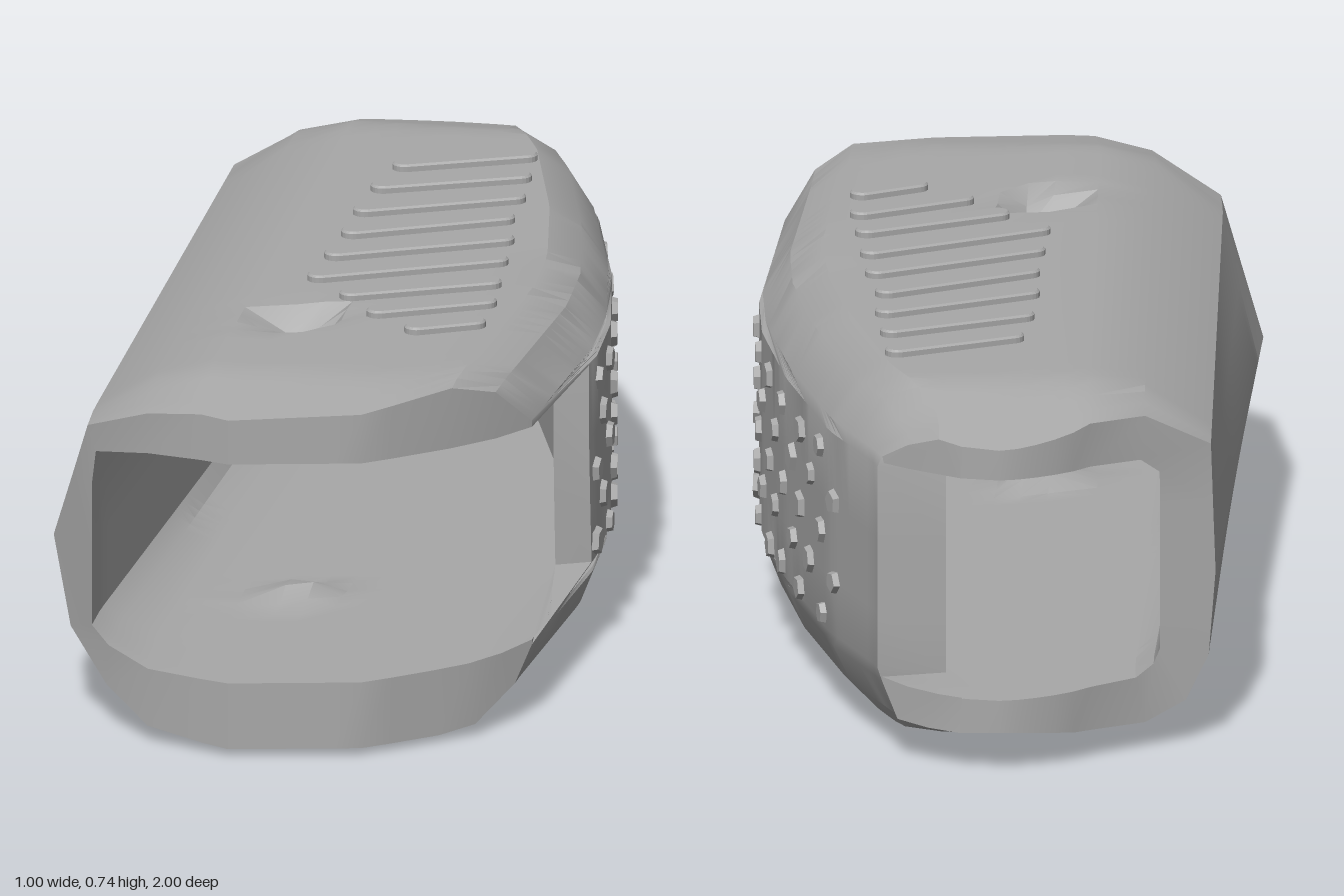
import * as THREE from 'three';
import { toCreasedNormals } from 'three/addons/utils/BufferGeometryUtils.js';

const grey = new THREE.MeshStandardMaterial({ color: 0xa8a8a8, side: THREE.DoubleSide });
grey.name = 'plain grey';

const lerp = THREE.MathUtils.lerp;

// Piecewise linear lookup through [key, value] pairs
function curve(pairs, k) {
  if (k <= pairs[0][0]) return pairs[0][1];
  for (let i = 1; i < pairs.length; i++) {
    const [a, va] = pairs[i - 1], [b, vb] = pairs[i];
    if (k <= b) return lerp(va, vb, (k - a) / (b - a));
  }
  return pairs[pairs.length - 1][1];
}

// Plan outline: left and right edges along z, front and back edges across the width
const leftX = z => curve([[-0.8, -0.41], [0.75, -0.5]], z);
const rightX = z => curve([[-0.88, 0.25], [-0.65, 0.345], [-0.3, 0.43], [0, 0.477],
  [0.2, 0.483], [0.67, 0.44], [1, 0.42]], z);
const frontZ = u => curve([[0, 0.75], [0.1, 0.85], [0.25, 0.95], [0.42, 1], [0.7, 0.95], [0.9, 0.8], [1, 0.67]], u);
const backZ = u => curve([[0, -0.8], [0.15, -0.82], [0.5, -0.97], [0.62, -1], [0.78, -0.98], [1, -0.88]], u);

// Section rows: u, outer shift at back and front, outer y, inner shift at back and front, inner y, front limit
function sectionRows() {
  const rows = [
    [0, 0, 0, 0.36, 0.11, 0.09, 0.36],
    [0, 0, 0.05, 0.5, 0.11, 0.09, 0.5],
    [0, 0, 0.09, 0.62, 0.11, 0.1, 0.57],
    [0, 0.13, 0.22, 0.71, 0.14, 0.22, 0.6],
    [0, 0.24, 0.33, 0.735, 0.24, 0.33, 0.605],
  ];
  for (let u = 0.42; u < 0.76; u += 0.055) rows.push([u, 0, 0, 0.735, 0, 0, 0.605]);
  rows.push(
    [1, -0.12, -0.13, 0.735, -0.16, -0.13, 0.605],
    [1, -0.06, -0.06, 0.7, -0.06, -0.06, 0.605],
    [1, -0.01, -0.005, 0.62, -0.01, -0.005, 0.607],
    // side wall, stopping short to leave the front side opening
    [1, 0, 0, 0.6, -0.14, -0.03, 0.59, 0.26],
    [1, 0, 0, 0.45, -0.14, -0.03, 0.45, 0.26],
    [1, 0, 0, 0.3, -0.14, -0.03, 0.3, 0.25],
    [1, 0, 0, 0.19, -0.14, -0.03, 0.18, 0.24],
    [1, -0.01, -0.005, 0.16, -0.01, -0.005, 0.17],
    [1, -0.04, -0.03, 0.09, -0.06, -0.05, 0.16],
    [1, -0.1, -0.09, 0.03, -0.12, -0.1, 0.157],
    [1, -0.16, -0.15, 0.02, -0.18, -0.16, 0.155],
  );
  for (let u = 0.75; u > 0.41; u -= 0.055) rows.push([u, 0, 0, 0.02, 0, 0, 0.155]);
  rows.push(
    [0, 0.24, 0.33, 0.025, 0.24, 0.33, 0.155],
    [0, 0.13, 0.22, 0.04, 0.15, 0.22, 0.157],
    [0, 0.05, 0.13, 0.1, 0.12, 0.13, 0.18],
    [0, 0.01, 0.045, 0.19, 0.11, 0.09, 0.21],
  );
  return rows;
}

// Each row is a closed strip: out along the outside, back along the inside
function buildShell() {
  const rows = sectionRows(), steps = 40, ring = 2 * (steps + 1);
  const pos = [], index = [];
  for (const [u, oB, oF, oY, iB, iF, iY, limit] of rows) {
    for (let k = 0; k < ring; k++) {
      const outer = k <= steps;
      const t = outer ? k / steps : (ring - 1 - k) / steps;
      const [dB, dF, y0] = outer ? [oB, oF, oY] : [iB, iF, iY];
      const sideRow = limit !== undefined;
      const z0 = sideRow ? -0.89 : backZ(u + dB / 0.69);
      const z1 = sideRow ? limit : frontZ(u + dF / 0.93);
      const z = lerp(z0, z1, t);
      const x = lerp(leftX(z), rightX(z), u) + lerp(dB, dF, (z + 1) / 2);
      // ends bend inward, and one dent on top and bottom
      const upper = y0 > 0.36 ? 1 : -1;
      const plate = Math.abs(y0 - 0.37) > 0.31;
      let y = y0;
      if (plate && z < -0.76) y -= upper * 0.07 * (-0.76 - z) / 0.24;
      if (plate && upper > 0 && z > 0.8) y -= 0.04 * (z - 0.8) / 0.2;
      const dent = Math.max(0, 1 - Math.hypot(x + 0.06, z - 0.45) / 0.085);
      if (Math.abs(y0 - 0.37) > 0.2) y -= upper * dent * (outer ? 0.1 : 0.05);
      pos.push(x, y, z);
    }
  }
  const n = rows.length;
  for (let i = 0; i < n; i++) {
    for (let k = 0; k < ring; k++) {
      const i2 = (i + 1) % n, k2 = (k + 1) % ring;
      const a = i * ring + k, b = i * ring + k2, c = i2 * ring + k, d = i2 * ring + k2;
      index.push(a, b, c, b, d, c);
    }
  }
  const geo = new THREE.BufferGeometry();
  geo.setAttribute('position', new THREE.Float32BufferAttribute(pos, 3));
  geo.setIndex(index);
  return toCreasedNormals(geo, 0.5);
}

// Round-ended grip bar lying between two plan points
function gripBar([x1, z1, x2, z2], y) {
  const r = 0.02, h = Math.hypot(x2 - x1, z2 - z1) / 2 - r;
  const s = new THREE.Shape();
  s.absarc(h, 0, r, -Math.PI / 2, Math.PI / 2);
  s.absarc(-h, 0, r, Math.PI / 2, Math.PI * 1.5);
  const geo = new THREE.ExtrudeGeometry(s, {
    depth: 0.015, bevelEnabled: true, bevelSize: 0.004, bevelThickness: 0.004,
    bevelSegments: 1, curveSegments: 5,
  });
  geo.translate(0, 0, -0.0075).rotateX(-Math.PI / 2);
  const bar = new THREE.Mesh(geo, grey);
  bar.position.set((x1 + x2) / 2, y, (z1 + z2) / 2);
  bar.rotation.y = -Math.atan2(z2 - z1, x2 - x1);
  return bar;
}

export function createModel() {
  const model = new THREE.Group();
  model.name = 'sleeve';

  const shell = new THREE.Mesh(buildShell(), grey);
  shell.name = 'shell';
  model.add(shell);

  // Slanted grip bars on the top and bottom
  const bars = [
    [-0.03, -0.48, 0.23, -0.59], [-0.05, -0.34, 0.24, -0.46], [-0.06, -0.19, 0.25, -0.33],
    [-0.06, -0.05, 0.25, -0.2], [-0.07, 0.09, 0.27, -0.07], [-0.08, 0.23, 0.28, 0.06],
    [0, 0.33, 0.29, 0.2], [0.07, 0.43, 0.3, 0.32], [0.16, 0.52, 0.3, 0.45],
  ];
  for (const [name, y] of [['topGripBars', 0.738], ['bottomGripBars', 0.017]]) {
    const set = new THREE.Group();
    set.name = name;
    bars.forEach(b => set.add(gripBar(b, y)));
    model.add(set);
  }

  // Staggered angular studs on the side wall
  let seed = 7;
  const rand = () => (seed = (seed * 16807) % 2147483647) / 2147483647;
  const studs = new THREE.Group();
  studs.name = 'sideStuds';
  for (let row = 0; row < 5; row++) {
    for (let col = 0; col < 6; col++) {
      const z = 0.2 - col * 0.16 - (row % 2) * 0.08 + (rand() - 0.5) * 0.03;
      const y = 0.545 - row * 0.082 + (rand() - 0.5) * 0.02;
      const r = 0.026 + rand() * 0.009;
      const geo = new THREE.CylinderGeometry(r * 0.75, r, 0.024, 5 + (col + row) % 2).toNonIndexed();
      geo.computeVertexNormals();
      geo.rotateY(rand() * 6).rotateZ(-Math.PI / 2);
      const stud = new THREE.Mesh(geo, grey);
      stud.position.set(rightX(z), y, z);
      stud.rotation.y = Math.atan((rightX(z + 0.02) - rightX(z - 0.02)) / 0.04);
      studs.add(stud);
    }
  }
  model.add(studs);
  return model;
}
